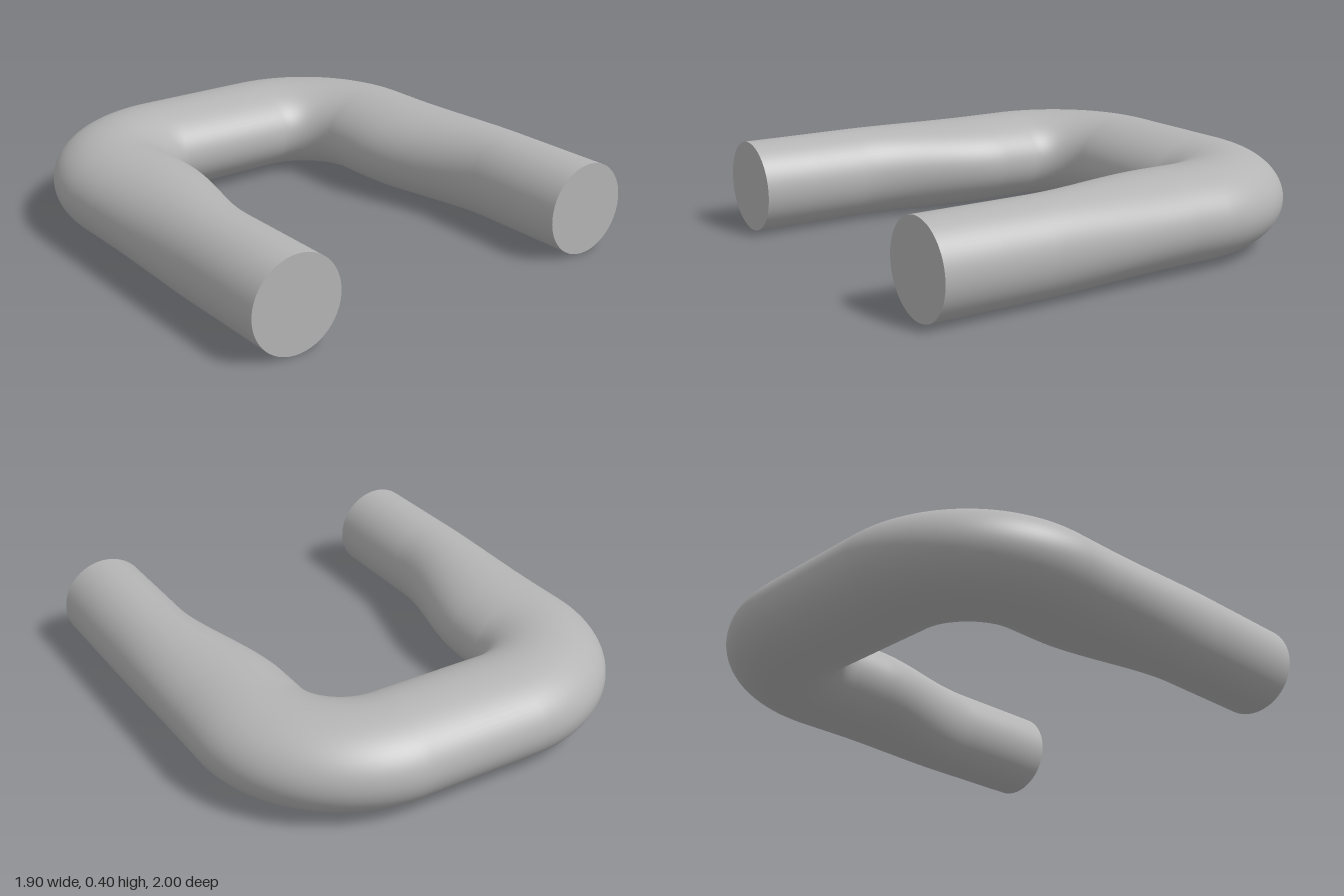
import * as THREE from 'three';

const HALF_HEIGHT = 0.2, OUTER = 0.95, LEG_INNER = 0.55, BEND_INNER = 0.415;
const BEND_X = 0.27, BEND_Z = -0.32; // centre of the corner bend
const SIDES = 64;

// Stations along the right half: section centre, outward direction, half width
function halfStations() {
  const list = [];
  const leg = (z) => {
    const s = THREE.MathUtils.smoothstep(z, -0.16, 0.52);
    const inner = THREE.MathUtils.lerp(BEND_INNER, LEG_INNER, s);
    list.push({ x: (OUTER + inner) / 2, z, nx: 1, nz: 0, w: (OUTER - inner) / 2 });
  };
  leg(1);
  leg(0.75);
  for (let i = 0; i <= 24; i++) leg(0.52 - (0.68 * i) / 24);

  const w = (OUTER - BEND_INNER) / 2;
  const r = (OUTER + BEND_INNER) / 2 - BEND_X;
  for (let i = 0; i <= 32; i++) {
    const a = (i / 32) * Math.PI / 2;
    const nx = Math.cos(a), nz = -Math.sin(a);
    list.push({ x: BEND_X + r * nx, z: BEND_Z + r * nz, nx, nz, w });
  }
  return list;
}

// Closed elliptical rings joined along the U-shaped path
function tubeGeometry() {
  const half = halfStations();
  const mirrored = half.map((s) => ({ ...s, x: -s.x, nx: -s.nx })).reverse();
  const stations = [...half, ...mirrored];
  const positions = [], indices = [];
  stations.forEach((s, i) => {
    for (let j = 0; j < SIDES; j++) {
      const t = (j / SIDES) * Math.PI * 2;
      const d = s.w * Math.cos(t);
      positions.push(s.x + s.nx * d, HALF_HEIGHT * (1 + Math.sin(t)), s.z + s.nz * d);
      if (i === stations.length - 1) continue;
      const a = i * SIDES + j, b = i * SIDES + ((j + 1) % SIDES);
      indices.push(a, a + SIDES, b, b, a + SIDES, b + SIDES);
    }
  });
  const geometry = new THREE.BufferGeometry();
  geometry.setAttribute('position', new THREE.Float32BufferAttribute(positions, 3));
  geometry.setIndex(indices);
  geometry.computeVertexNormals();
  return geometry;
}

export function createModel() {
  const group = new THREE.Group();
  group.name = 'bentTube';
  const grey = new THREE.MeshStandardMaterial({ color: 0xb4b4b4 });
  grey.name = 'grey';

  const tube = new THREE.Mesh(tubeGeometry(), grey);
  tube.name = 'tube';
  group.add(tube);

  // Flat end faces
  for (const side of [-1, 1]) {
    const cap = new THREE.Mesh(new THREE.CircleGeometry(HALF_HEIGHT, SIDES), grey);
    cap.name = side > 0 ? 'leftEndCap' : 'rightEndCap';
    cap.position.set(side * (OUTER + LEG_INNER) / 2, HALF_HEIGHT, 1);
    group.add(cap);
  }
  return group;
}
